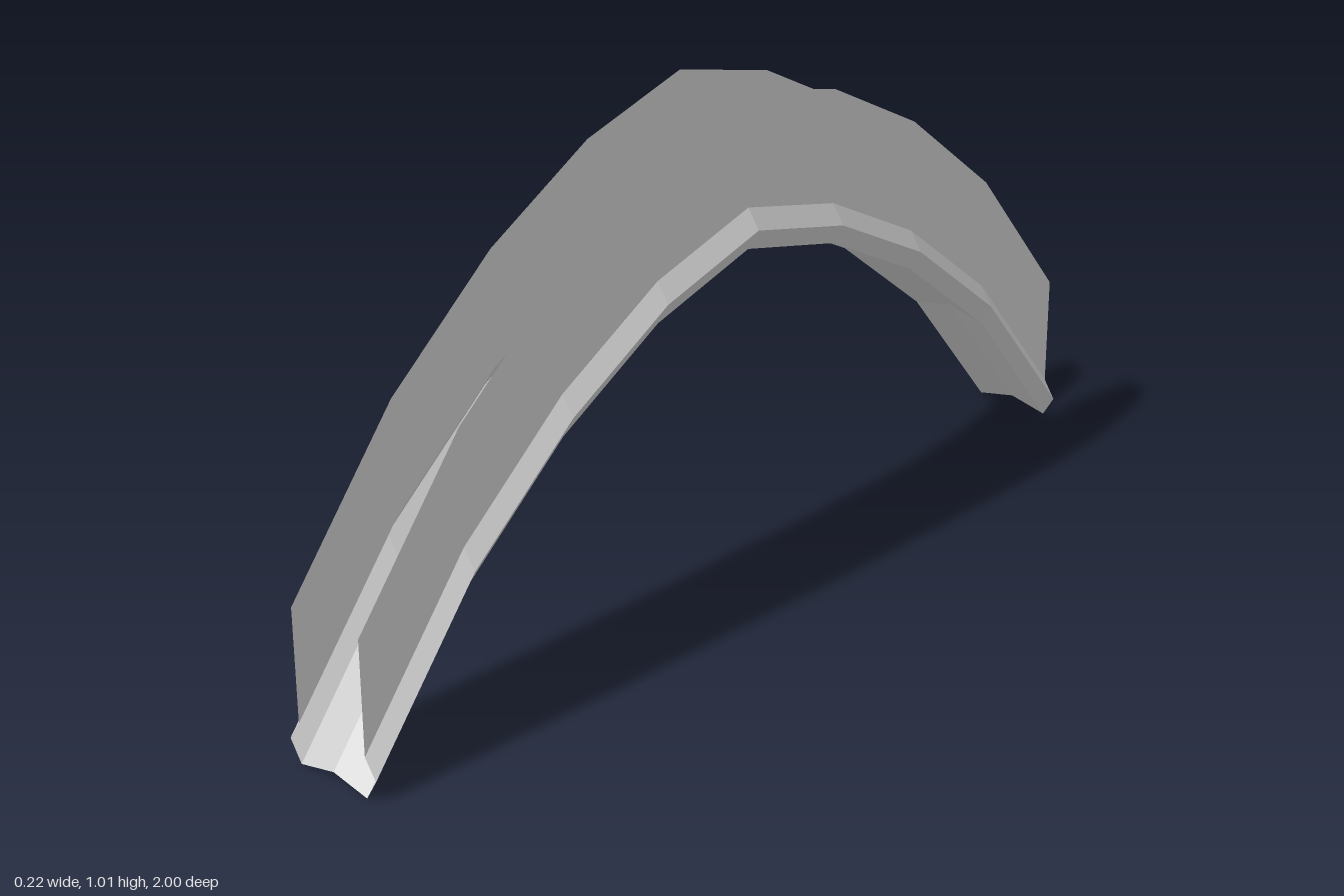
import * as THREE from 'three';

// Half of the arch line as [z, height]; mirrored to the back
const half = [[1, 0.003], [0.75, 0.304], [0.5, 0.504], [0.25, 0.637], [0, 0.703]];
const arch = [...half, ...half.slice(0, -1).reverse().map(([z, y]) => [-z, y])];

const material = new THREE.MeshStandardMaterial({
  color: 0xcccccc, flatShading: true, side: THREE.DoubleSide,
});

// Sweeps an open [x, y] profile along the arch, keeping it upright
function sweep(name, profile) {
  const positions = [], index = [], n = profile.length;
  for (const [z, h] of arch) {
    for (const [x, y] of profile) positions.push(x, h + y, z);
  }
  for (let i = 0; i < arch.length - 1; i++) {
    for (let j = 0; j < n - 1; j++) {
      const a = i * n + j, b = a + 1, c = a + n, d = c + 1;
      index.push(a, b, d, a, d, c);
    }
  }
  const indexed = new THREE.BufferGeometry();
  indexed.setAttribute('position', new THREE.Float32BufferAttribute(positions, 3));
  indexed.setIndex(index);
  const geometry = indexed.toNonIndexed();
  geometry.computeVertexNormals();
  const mesh = new THREE.Mesh(geometry, material);
  mesh.name = name;
  return mesh;
}

export function createModel() {
  const group = new THREE.Group();
  group.name = 'archedBridge';

  // Slightly ridged deck
  group.add(sweep('deck', [[-0.083, 0], [0, 0.018], [0.083, 0]]));

  // Angled edge trim and upright parapet on each side
  for (const [side, s] of [['left', 1], ['right', -1]]) {
    const trim = [[0.083, 0], [0.108, 0.043], [0.083, 0.082]];
    const wall = [[0.083, 0.082], [0.083, 0.311]];
    const place = (points) => {
      const p = points.map(([x, y]) => [s * x, y]);
      return s > 0 ? p.reverse() : p;
    };
    // Reversed on the left so that the front of each face looks outward
    group.add(sweep(side + 'EdgeTrim', place(trim)));
    group.add(sweep(side + 'Parapet', place(wall)));
  }
  return group;
}
